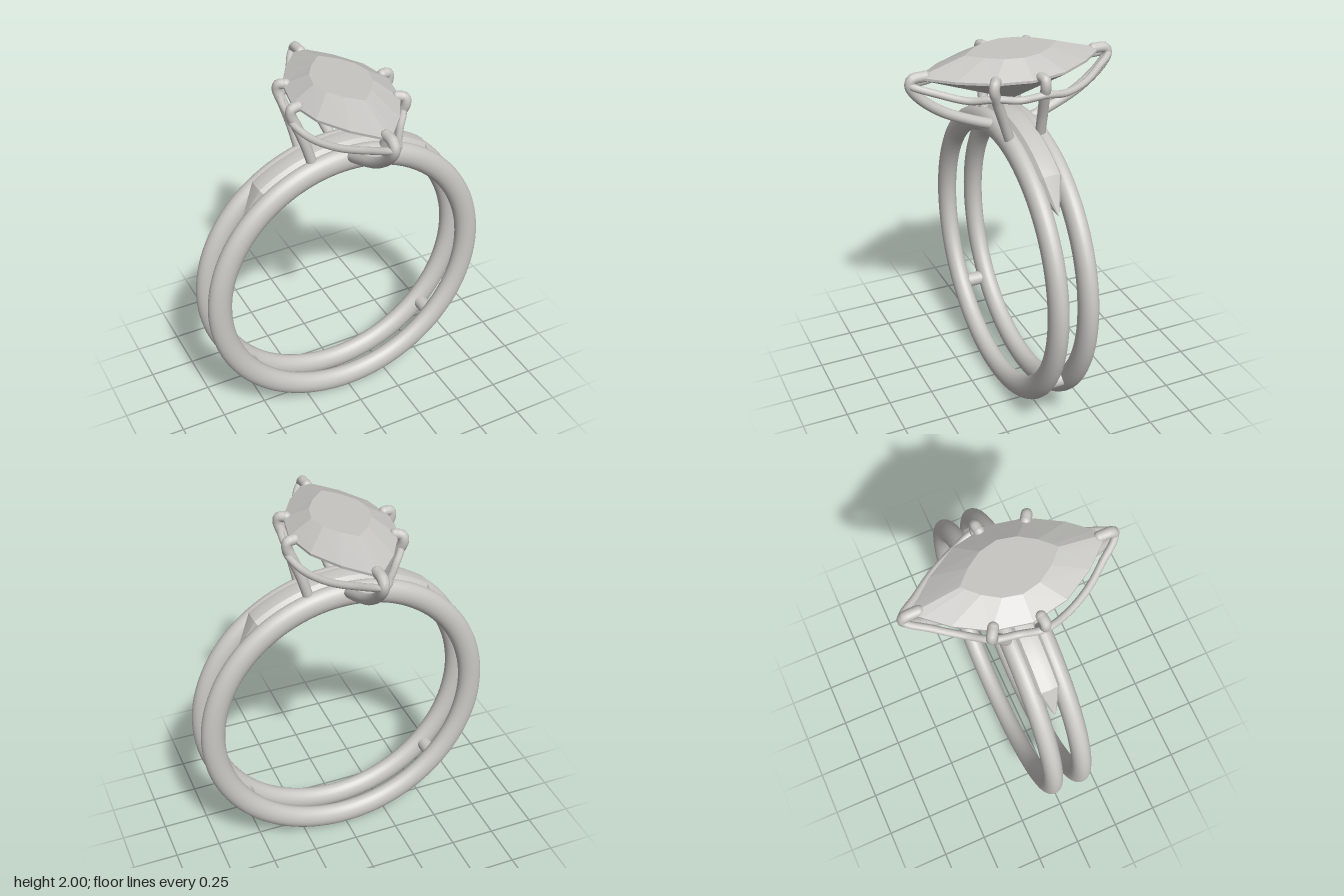
import * as THREE from 'three';
import { toCreasedNormals } from 'three/addons/utils/BufferGeometryUtils.js';

const metal = new THREE.MeshStandardMaterial({ color: 0xc9c7c3 });
metal.name = 'metal';
const stone = new THREE.MeshStandardMaterial({ color: 0xc6c5c2 });
stone.name = 'stone';

const CY = 0.82; // height of the band centre
const R = 0.755; // band radius

// Skins rows of closed cross-sections
function loft(rows, crease) {
  const pos = [], idx = [], n = rows[0].length;
  rows.forEach(row => row.forEach(p => pos.push(...p)));
  for (let i = 0; i < rows.length - 1; i++) {
    for (let j = 0; j < n; j++) {
      const k = (j + 1) % n, a = i * n, b = a + n;
      idx.push(a + j, b + j, b + k, a + j, b + k, a + k);
    }
  }
  let g = new THREE.BufferGeometry();
  g.setAttribute('position', new THREE.Float32BufferAttribute(pos, 3));
  g.setIndex(idx);
  if (crease) return toCreasedNormals(g, crease);
  g = g.toNonIndexed();
  g.computeVertexNormals();
  return g;
}

function add(parent, name, geometry, material) {
  const mesh = new THREE.Mesh(geometry, material);
  mesh.name = name;
  parent.add(mesh);
  return mesh;
}

const vectors = pts => pts.map(p => new THREE.Vector3(...p));

// Round wire prong with rounded claw end
function prong(name, pts, radius) {
  const group = new THREE.Group();
  group.name = name;
  const v = vectors(pts);
  add(group, name + 'Wire', new THREE.TubeGeometry(new THREE.CatmullRomCurve3(v), 40, radius, 14), metal);
  const tip = add(group, name + 'Tip', new THREE.SphereGeometry(radius, 14, 10), metal);
  tip.position.copy(v[v.length - 1]);
  const foot = add(group, name + 'Foot', new THREE.SphereGeometry(radius, 14, 10), metal);
  foot.position.copy(v[0]);
  return group;
}

export function createModel() {
  const model = new THREE.Group();
  model.name = 'ring';

  // Twin bands with an oval section
  for (const s of [1, -1]) {
    const band = add(model, s > 0 ? 'frontBand' : 'backBand', new THREE.TorusGeometry(R, 0.065, 24, 120), metal);
    band.scale.z = 0.8;
    band.position.set(0, CY, s * 0.083);
  }

  // Small bars joining the bands low down
  for (const s of [1, -1]) {
    const bar = add(model, s > 0 ? 'leftBar' : 'rightBar', new THREE.CylinderGeometry(0.04, 0.04, 0.16, 20), metal);
    bar.rotation.x = Math.PI / 2;
    bar.position.set(s * 0.557, 0.31, 0);
  }

  // Bridge between the bands, tapering to a point at each end
  const section = [[0, 0.843], [-0.045, 0.835], [-0.07, 0.8], [-0.07, 0.72], [-0.045, 0.692],
    [0, 0.684], [0.045, 0.692], [0.07, 0.72], [0.07, 0.8], [0.045, 0.835]];
  const shoulder = 0.615, end = 0.85, rows = [];
  const addRow = (a, s) => rows.push(section.map(([z, r]) => {
    const q = R + (r - R) * s;
    return [q * Math.sin(a), CY + q * Math.cos(a), z * s];
  }));
  addRow(-end, 0);
  for (let i = 0; i <= 24; i++) addRow(shoulder * (i / 12 - 1), 1);
  addRow(end, 0);
  add(model, 'bridge', loft(rows, 0.45), metal);

  // Faceted marquise stone: [half length, half width, height]
  const N = 16;
  const levels = [[0, 0, 2], [0.25, 0.15, 2], [0.5, 0.27, 1.925], [0.5, 0.27, 1.912], [0, 0, 1.725]];
  add(model, 'stone', loft(levels.map(([len, wid, y]) => Array.from({ length: N }, (_, j) => {
    const t = j / N * Math.PI * 2, s = Math.sin(t);
    return [wid * s * Math.abs(s), y, len * Math.cos(t)];
  }))), stone);

  // Prongs: one end prong and two side prongs, repeated by a half turn
  for (const [side, turn] of [['front', 0], ['back', Math.PI]]) {
    const half = new THREE.Group();
    half.name = side + 'Prongs';
    half.rotation.y = turn;
    half.add(
      prong(side + 'EndProng', [[0, 1.595, 0.09], [0, 1.635, 0.2], [0, 1.72, 0.38], [0, 1.82, 0.505],
        [0, 1.885, 0.546], [0, 1.918, 0.535], [0, 1.925, 0.465]], 0.028),
      prong(side + 'OuterProng', [[0.2, 1.6, -0.07], [0.235, 1.72, -0.065], [0.275, 1.83, -0.055],
        [0.3, 1.895, -0.05], [0.295, 1.925, -0.05], [0.258, 1.93, -0.045]], 0.027),
      prong(side + 'InnerProng', [[0.195, 1.6, 0.1], [0.21, 1.7, 0.135], [0.235, 1.82, 0.18],
        [0.255, 1.895, 0.205], [0.25, 1.925, 0.2], [0.218, 1.93, 0.18]], 0.027)
    );
    model.add(half);
  }

  // Wavy wire rail running round under the stone
  const rail = [[0, 1.89, -0.55], [0.1, 1.855, -0.44], [0.19, 1.83, -0.32], [0.26, 1.825, -0.18],
    [0.297, 1.85, -0.05], [0.265, 1.83, 0.07], [0.245, 1.85, 0.195], [0.17, 1.83, 0.3], [0.085, 1.855, 0.43]];
  const loop = rail.concat(rail.map(([x, y, z]) => [-x, y, -z]));
  add(model, 'rail', new THREE.TubeGeometry(
    new THREE.CatmullRomCurve3(vectors(loop), true), 160, 0.019, 12, true), metal);

  return model;
}
